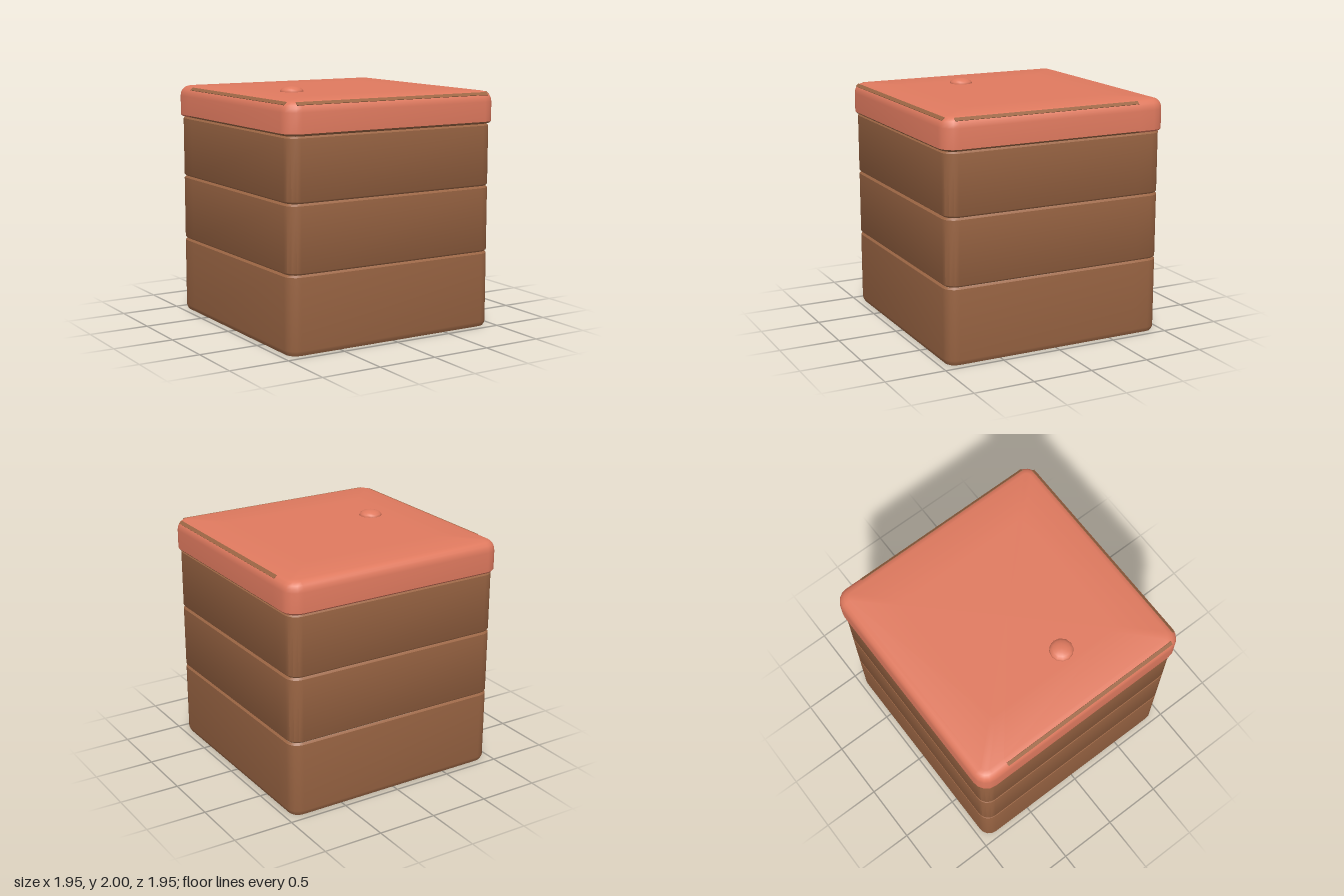
import * as THREE from 'three';
import { toCreasedNormals } from 'three/addons/utils/BufferGeometryUtils.js';

const SEG = 4;          // segments per rounded corner
const BACK = 0.72;      // where the brown trim stops on the sides

// Rounded square outline of half-width h, with an extra point on each side edge
function outline(h) {
  const r = h > 0.87 ? h - 0.855 : h * 0.05;
  const pts = [];
  [[1, 1], [-1, 1], [-1, -1], [1, -1]].forEach(([sx, sz], k) => {
    for (let i = 0; i <= SEG; i++) {
      const t = (k + i / SEG) * Math.PI / 2;
      pts.push([sx * (h - r) + r * Math.cos(t), sz * (h - r) + r * Math.sin(t)]);
    }
    if (k === 1) pts.push([-h, -Math.min(BACK, h * 0.8)]);
    if (k === 3) pts.push([h, -Math.min(BACK, h * 0.8)]);
  });
  return pts;
}

// Skin a list of [halfWidth, y] rings; keep(j) chooses which segments are built
function loft(profile, keep = () => true) {
  const pos = [], idx = [];
  let n = 0;
  for (const [h, y] of profile) {
    const pts = outline(h);
    n = pts.length;
    pts.forEach(([x, z]) => pos.push(x, y, z));
  }
  for (let i = 0; i < profile.length - 1; i++) {
    for (let j = 0; j < n; j++) {
      if (!keep(j)) continue;
      const a = i * n + j, b = i * n + (j + 1) % n;
      idx.push(a, a + n, b, b, a + n, b + n);
    }
  }
  const g = new THREE.BufferGeometry();
  g.setAttribute('position', new THREE.Float32BufferAttribute(pos, 3));
  g.setIndex(idx);
  return toCreasedNormals(g, 0.7);
}

export function createModel() {
  const model = new THREE.Group();
  model.name = 'liddedBox';
  const brown = new THREE.MeshStandardMaterial({ color: 0x9c6644, side: THREE.DoubleSide });
  brown.name = 'brown';
  const coral = new THREE.MeshStandardMaterial({ color: 0xe07a5f, side: THREE.DoubleSide });
  coral.name = 'coral';

  const add = (name, geometry, material) => {
    const mesh = new THREE.Mesh(geometry, material);
    mesh.name = name;
    model.add(mesh);
    return mesh;
  };

  // Three stacked tiers, hollow and open below
  [[0, 0.632], [0.632, 1.18], [1.18, 1.692]].forEach(([y0, y1], i) => {
    const foot = i === 0 ? 0.04 : 0.016;
    add('tier' + (i + 1), loft([
      [0.938, y0], [0.949, y0 + foot * 0.5], [0.955, y0 + foot],
      [0.955, y1 - 0.016], [0.94, y1],
    ]), brown);
  });

  // Lid with rounded upper edge
  add('lid', loft([
    [0.977, 1.71], [0.977, 1.87], [0.972, 1.9], [0.96, 1.923],
    [0.935, 1.945], [0.9, 1.955], [0.6, 1.956], [0, 1.956],
  ]), coral);

  // Sloping underside of the lid: brown at front and sides, coral at the back
  const under = [[0.935, 1.688], [0.965, 1.697], [0.977, 1.71]];
  const isBack = j => j >= 10 && j <= 20;
  add('lidUndersideFront', loft(under, j => !isBack(j)), brown);
  add('lidUndersideBack', loft(under, isBack), coral);

  // Thin trim strips along the upper bevel
  const strip = (name, length, turn, shift) => {
    const g = new THREE.BoxGeometry(length, 0.006, 0.032);
    g.rotateX(0.72);
    g.translate(shift, 1.935, 0.948);
    g.rotateY(turn);
    add(name, g, brown);
  };
  strip('frontTrim', 1.78, 0, 0);
  strip('leftTrim', 1.6, Math.PI / 2, -0.08);
  strip('rightTrim', 1.6, -Math.PI / 2, 0.08);

  // Low domed knob
  const knob = add('knob', new THREE.SphereGeometry(0.096, 12, 8), coral);
  knob.scale.y = 0.47;
  knob.position.set(-0.48, 1.955, 0.16);

  return model;
}
